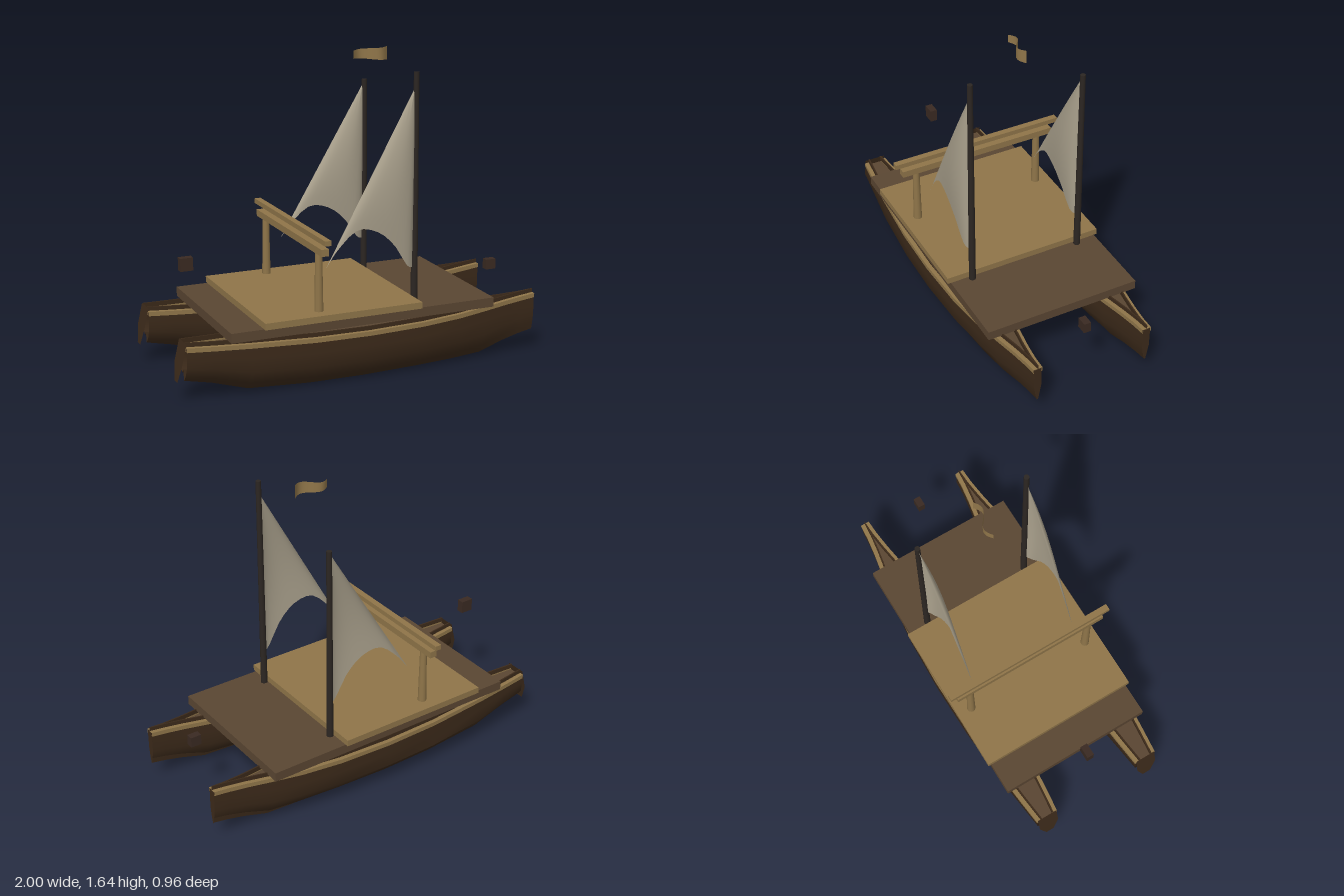
import * as THREE from 'three';
import { toCreasedNormals } from 'three/addons/utils/BufferGeometryUtils.js';

const mat = (color) => new THREE.MeshStandardMaterial({ color, side: THREE.DoubleSide });
const darkWood = mat(0x3c2a1a), brown = mat(0x5a4632), tan = mat(0x8f7549);
const mastWood = mat(0x2c2622), canvas = mat(0xa89f8b), block = mat(0x3a2a22);

// Stations along a hull: x, half width, keel height, rail height
const stations = [
  [-0.96, 0.057, 0.11, 0.29], [-0.82, 0.072, 0.08, 0.284], [-0.63, 0.09, 0.022, 0.277],
  [-0.3, 0.114, 0.003, 0.268], [0, 0.12, 0, 0.266], [0.3, 0.11, 0.006, 0.27],
  [0.52, 0.088, 0.014, 0.278], [0.68, 0.062, 0.025, 0.288], [0.82, 0.038, 0.07, 0.298],
  [0.92, 0.025, 0.095, 0.305], [1, 0.02, 0.11, 0.312],
];

// Surface from rows of points, each row a cross-section
function surface(rows, crease = 0.6) {
  const n = rows[0].length, index = [];
  for (let i = 0; i < rows.length - 1; i++) {
    for (let j = 0; j < n - 1; j++) {
      const a = i * n + j, b = a + n;
      index.push(a, b, a + 1, b, b + 1, a + 1);
    }
  }
  const g = new THREE.BufferGeometry();
  g.setAttribute('position', new THREE.Float32BufferAttribute(rows.flat(2), 3));
  g.setIndex(index);
  return toCreasedNormals(g, crease);
}

function add(parent, name, geometry, material, x = 0, y = 0, z = 0) {
  const mesh = new THREE.Mesh(geometry, material);
  mesh.name = name;
  mesh.position.set(x, y, z);
  parent.add(mesh);
  return mesh;
}

// Sweep a section (list of [z, y]) through the hull stations
const sweep = (section) =>
  surface(stations.map(([x, w, k, s]) => section(w, k, s).map(([z, y]) => [x, y, z])));

function createHull() {
  const hull = new THREE.Group();
  // Planked shell with a grooved keel
  add(hull, 'hullShell', sweep((w, k, s) => {
    const chine = k + (s - k) * 0.42, low = k + (s - k) * 0.17;
    return [[w, s], [w * 1.01, (s + chine) / 2], [w * 0.97, chine], [w * 0.6, low], [w * 0.13, k],
      [-w * 0.06, k + (s - k) * 0.3], [-w * 0.32, k + 0.035], [-w * 0.65, low + 0.02],
      [-w * 0.97, chine], [-w * 1.01, (s + chine) / 2], [-w, s]];
  }), darkWood);
  // Raked transom and narrow stem
  const [, ws, ks, ss] = stations[0];
  add(hull, 'transom', surface([
    [[-0.96, ss + 0.02, ws], [-0.96, ss + 0.02, -ws]],
    [[-0.985, 0.2, ws], [-0.985, 0.2, -ws]],
    [[-1, ks, ws * 0.4], [-1, ks, -ws * 0.4]],
  ]), darkWood);
  const [, wb, kb, sb] = stations[stations.length - 1];
  add(hull, 'stem', surface([
    [[1, sb, -wb], [1, sb, wb]], [[1, 0.2, -wb], [1, 0.2, wb]],
    [[1, kb, -wb * 0.2], [1, kb, wb * 0.2]],
  ]), darkWood);
  // Inner floor
  add(hull, 'hullFloor', sweep((w, k, s) => [[-w, s - 0.012], [w, s - 0.012]]), brown);
  // Rub rails and upper strakes on both sides
  for (const side of [1, -1]) {
    const ring = (out, inn, lo, hi) => sweep((w, k, s) => {
      const a = (w + out) * side, b = Math.max(w + inn, 0) * side;
      return [[a, s + lo], [a, s + hi], [b, s + hi], [b, s + lo], [a, s + lo]];
    });
    add(hull, 'rubRail', ring(0.005, -0.02, -0.02, 0.003), tan);
    add(hull, 'upperStrake', ring(-0.018, -0.026, 0, 0.024), darkWood);
  }
  return hull;
}

// Triangular sail: arched foot gathered towards the masthead, bellied to +z
function createSail() {
  const foot = new THREE.CatmullRomCurve3([
    [-0.2, 0.59], [-0.13, 0.69], [-0.03, 0.775], [0.07, 0.755], [0.16, 0.68], [0.25, 0.55], [0.285, 0.54],
  ].map(([x, y]) => new THREE.Vector3(x, y, 0)));
  const top = new THREE.Vector3(0.285, 1.47, 0), rows = [];
  for (let i = 0; i <= 12; i++) {
    const v = i / 12, row = [];
    for (let j = 0; j <= 16; j++) {
      const t = j / 16, p = foot.getPoint(t).lerp(top, v);
      const belly = 0.045 * Math.sin(Math.PI * t ** 1.3) * Math.sin(Math.PI * (0.25 + 0.75 * v));
      row.push([p.x, p.y, belly]);
    }
    rows.push(row);
  }
  return surface(rows, 1.5);
}

export function createModel() {
  const model = new THREE.Group();
  model.name = 'twinHullBoat';
  const box = (name, m, w, h, d, x, y, z) => add(model, name, new THREE.BoxGeometry(w, h, d), m, x, y, z);

  // Hulls, masts and sails
  for (const side of [1, -1]) {
    const hull = createHull();
    hull.name = side > 0 ? 'frontHull' : 'rearHull';
    hull.position.z = side * 0.31;
    model.add(hull);

    const h = side > 0 ? 1.195 : 1.065;
    add(model, 'mast', new THREE.CylinderGeometry(0.014, 0.018, h, 12), mastWood, 0.293, 0.355 + h / 2, side * 0.31);
    const sail = add(model, 'sail', createSail(), canvas, 0, 0, side * 0.31);
    if (side < 0) {
      sail.scale.y = 0.92;
      sail.position.y = 0.56 * 0.08;
    }
    // Frame post
    add(model, 'post', new THREE.CylinderGeometry(0.018, 0.023, 0.31, 12), tan, -0.262, 0.54, side * 0.36);
  }

  // Bridging deck and raised platform
  box('deck', brown, 1.45, 0.05, 0.85, -0.025, 0.33, 0);
  box('platform', tan, 0.855, 0.034, 0.885, -0.152, 0.372, 0);

  // Cross beams
  box('lowerBeam', tan, 0.04, 0.036, 0.885, -0.262, 0.71, 0);
  box('upperBeam', tan, 0.034, 0.026, 0.96, -0.262, 0.767, 0);

  // Small blocks at stern and bow
  box('sternBlock', block, 0.068, 0.068, 0.038, -0.835, 0.605, 0);
  box('bowBlock', block, 0.058, 0.056, 0.038, 0.91, 0.402, 0);

  // Waving pennant
  const rows = [];
  for (let i = 0; i <= 16; i++) {
    const t = i / 16, half = 0.035 - 0.014 * t, x = 0.278 - 0.19 * t;
    const z = 0.025 * Math.sin(t * Math.PI * 2);
    rows.push([[x, 1.605 + half, z], [x, 1.605 - half, z]]);
  }
  add(model, 'pennant', surface(rows, 1.5), tan);
  return model;
}
